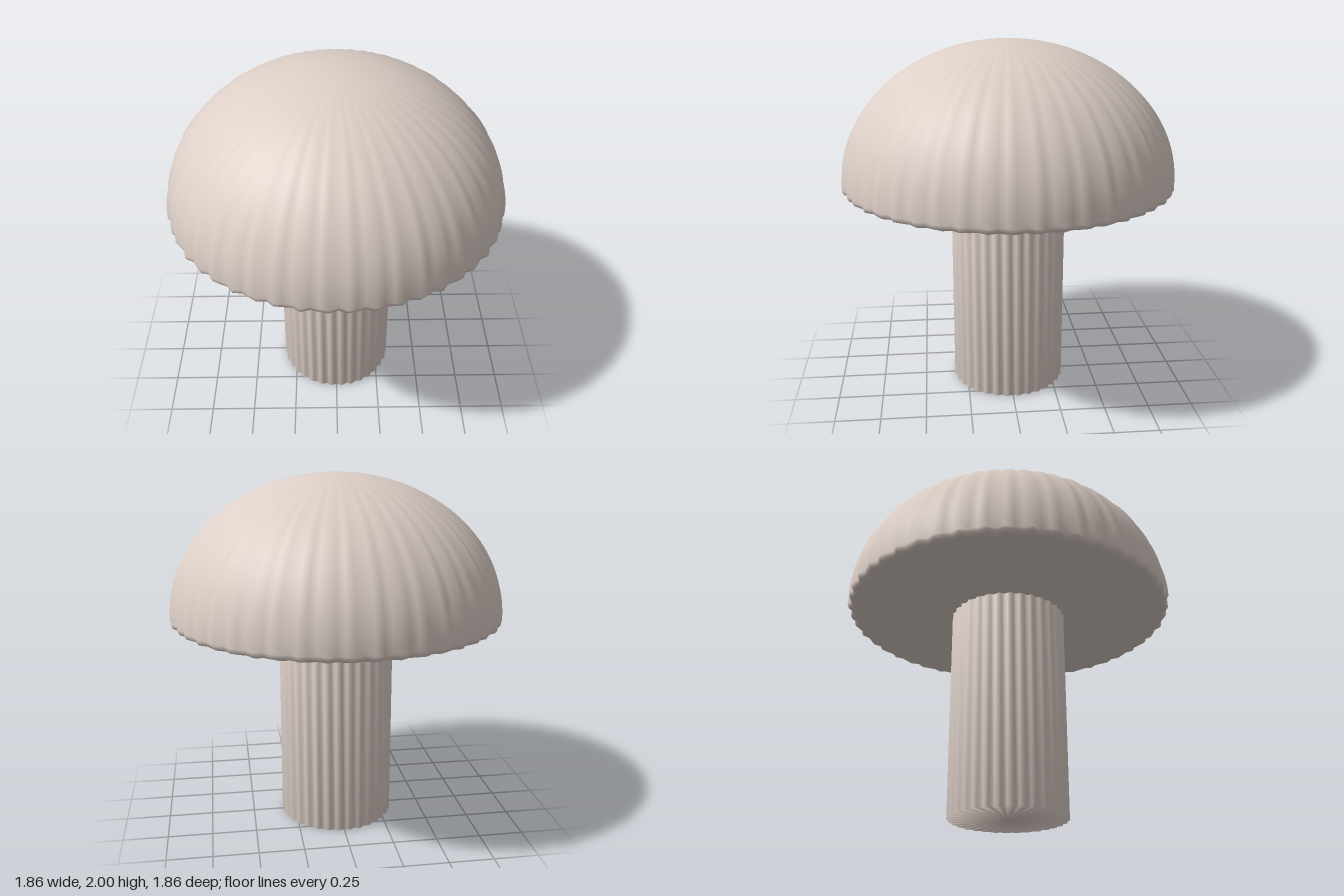
import * as THREE from 'three';
import { mergeVertices } from 'three/addons/utils/BufferGeometryUtils.js';

const SEGMENTS = 128;

// Lathed solid whose radius ripples around the axis, with smooth shared normals
function ribbedLathe(profile, ribs, depth) {
  const points = profile.map(([r, y]) => new THREE.Vector2(r, y));
  let geometry = new THREE.LatheGeometry(points, SEGMENTS);
  const pos = geometry.attributes.position;
  for (let i = 0; i < pos.count; i++) {
    const x = pos.getX(i), z = pos.getZ(i);
    const scale = 1 - depth * Math.cos(ribs * Math.atan2(x, z));
    pos.setX(i, x * scale);
    pos.setZ(i, z * scale);
  }
  geometry.deleteAttribute('uv');
  geometry.deleteAttribute('normal');
  geometry = mergeVertices(geometry, 1e-5);
  geometry.computeVertexNormals();
  return geometry;
}

export function createModel() {
  const group = new THREE.Group();
  group.name = 'mushroomLamp';
  const ceramic = new THREE.MeshStandardMaterial({ color: 0xddcfc7 });
  ceramic.name = 'paleCeramic';

  const add = (name, geometry) => {
    const mesh = new THREE.Mesh(geometry, ceramic);
    mesh.name = name;
    group.add(mesh);
  };

  // Fluted column, closed at both ends
  add('stem', ribbedLathe([[0, 0], [0.318, 0], [0.318, 1.2], [0, 1.2]], 32, 0.025));

  // Domed cap: flat underside, small rounded rim, elliptical top
  const cap = [[0, 1.19], [0.895, 1.19], [0.913, 1.197], [0.922, 1.212]];
  const steps = 32;
  for (let i = 0; i <= steps; i++) {
    const a = (i / steps) * Math.PI / 2;
    cap.push([i === steps ? 0 : 0.923 * Math.cos(a), 1.225 + 0.775 * Math.sin(a)]);
  }
  add('cap', ribbedLathe(cap, 48, 0.0135));

  return group;
}
